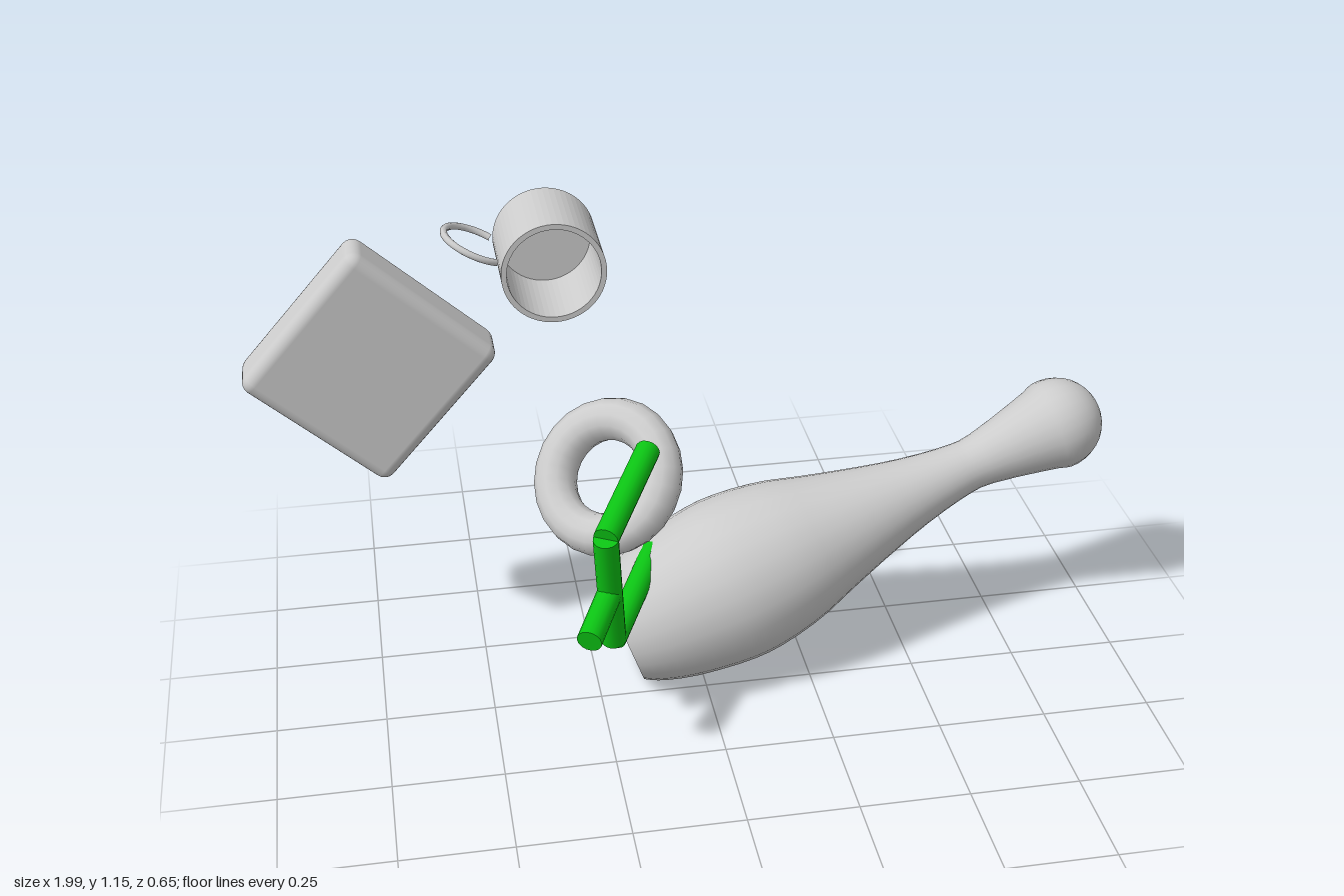
import * as THREE from 'three';
import { RoundedBoxGeometry } from 'three/addons/geometries/RoundedBoxGeometry.js';

const V = (x, y, z) => new THREE.Vector3(x, y, z);
const grey = new THREE.MeshStandardMaterial({ color: 0xcccccc });
const green = new THREE.MeshStandardMaterial({ color: 0x0cc414 });

function part(name, geometry, material = grey) {
  const mesh = new THREE.Mesh(geometry, material);
  mesh.name = name;
  return mesh;
}

// Cylinder between two points
function rod(name, from, to, radius, material) {
  const mesh = part(name, new THREE.CylinderGeometry(radius, radius, from.distanceTo(to), 16), material);
  mesh.position.copy(from).lerp(to, 0.5);
  mesh.quaternion.setFromUnitVectors(V(0, 1, 0), to.clone().sub(from).normalize());
  return mesh;
}

// Pin lying on its side: flat base, wide belly, thin neck, round head
function createPin() {
  const base = V(-0.19, 0.133, -0.08), head = V(0.885, 0.515, -0.205);
  const axis = head.clone().sub(base), headAt = axis.length(), r = 0.11;
  const side = [[0.128, 0], [0.15, 0.04], [0.175, 0.12], [0.195, 0.24], [0.196, 0.33],
    [0.178, 0.44], [0.147, 0.54], [0.112, 0.66], [0.084, 0.77], [0.065, 0.88], [0.065, 0.95]]
    .map(([x, y]) => new THREE.Vector2(x, y));
  for (let i = 0; i <= 5; i++) {
    const a = -0.5 + (i / 5) * (Math.PI / 2 + 0.5);
    side.push(new THREE.Vector2(Math.max(0, r * Math.cos(a)), headAt + r * Math.sin(a)));
  }
  const profile = new THREE.SplineCurve(side).getPoints(40);
  profile.forEach(p => { p.x = Math.max(0, p.x); });

  const group = new THREE.Group();
  group.name = 'pin';
  const bottom = part('pinBase', new THREE.CircleGeometry(0.128, 24));
  bottom.rotation.x = Math.PI / 2;
  group.add(part('pinBody', new THREE.LatheGeometry(profile, 24)), bottom);
  group.position.copy(base);
  group.quaternion.setFromUnitVectors(V(0, 1, 0), axis.normalize());
  return group;
}

// Tilted ring
function createRing() {
  const ring = part('ring', new THREE.TorusGeometry(0.136, 0.05, 12, 24));
  ring.position.set(-0.2, 0.5, -0.17);
  ring.quaternion.setFromUnitVectors(V(0, 0, 1), V(0.52, -0.6, -0.61).normalize());
  return ring;
}

// Cup opening toward the front, with a thin loop handle
function createCup() {
  const group = new THREE.Group();
  group.name = 'cup';
  const R = 0.114, inner = 0.102, depth = 0.206;
  const rim = new THREE.Shape().absarc(0, 0, R, 0, Math.PI * 2);
  rim.holes.push(new THREE.Path().absarc(0, 0, inner, 0, Math.PI * 2, true));
  const wall = part('cupWall', new THREE.ExtrudeGeometry(rim, { depth, bevelEnabled: false, curveSegments: 28 }));
  const floor = part('cupFloor', new THREE.CylinderGeometry(inner + 0.002, inner + 0.002, 0.014, 28));
  floor.rotation.x = Math.PI / 2;
  floor.position.z = 0.007;

  const handle = new THREE.Group();
  handle.name = 'cupHandle';
  const loop = part('handleLoop', new THREE.TorusGeometry(0.077, 0.008, 8, 24, Math.PI * 4 / 3));
  loop.rotation.set(Math.PI / 2, 0, Math.PI / 3);
  handle.add(loop);
  handle.position.set(-0.155, 0.035, 0.1);
  handle.rotation.z = -0.44;
  group.add(wall, floor, handle);
  group.position.set(-0.31, 1.045, -0.32);
  return group;
}

// Cushion-like square slab standing on a corner
function createSlab() {
  const slab = part('slab', new RoundedBoxGeometry(0.41, 0.41, 0.123, 3, 0.028));
  slab.position.set(-0.717, 0.803, -0.255);
  slab.rotation.z = 0.84;
  return slab;
}

// Two-armed bracket with a short stub on the opposite side
function createBracket() {
  const group = new THREE.Group();
  group.name = 'bracket';
  const low = V(-0.235, 0.262, 0.14), high = V(-0.255, 0.57, 0.21);
  const arm = V(0.13, 0.065, -0.25);
  const mid = low.clone().lerp(high, 0.48);
  group.add(
    rod('bracketBar', low, high, 0.028, green),
    rod('upperArm', high, high.clone().add(arm), 0.028, green),
    rod('lowerArm', low, low.clone().add(arm), 0.028, green),
    rod('stub', mid, V(-0.308, 0.378, 0.305), 0.028, green));
  return group;
}

export function createModel() {
  const model = new THREE.Group();
  model.name = 'model';
  model.add(createPin(), createRing(), createCup(), createSlab(), createBracket());
  return model;
}
